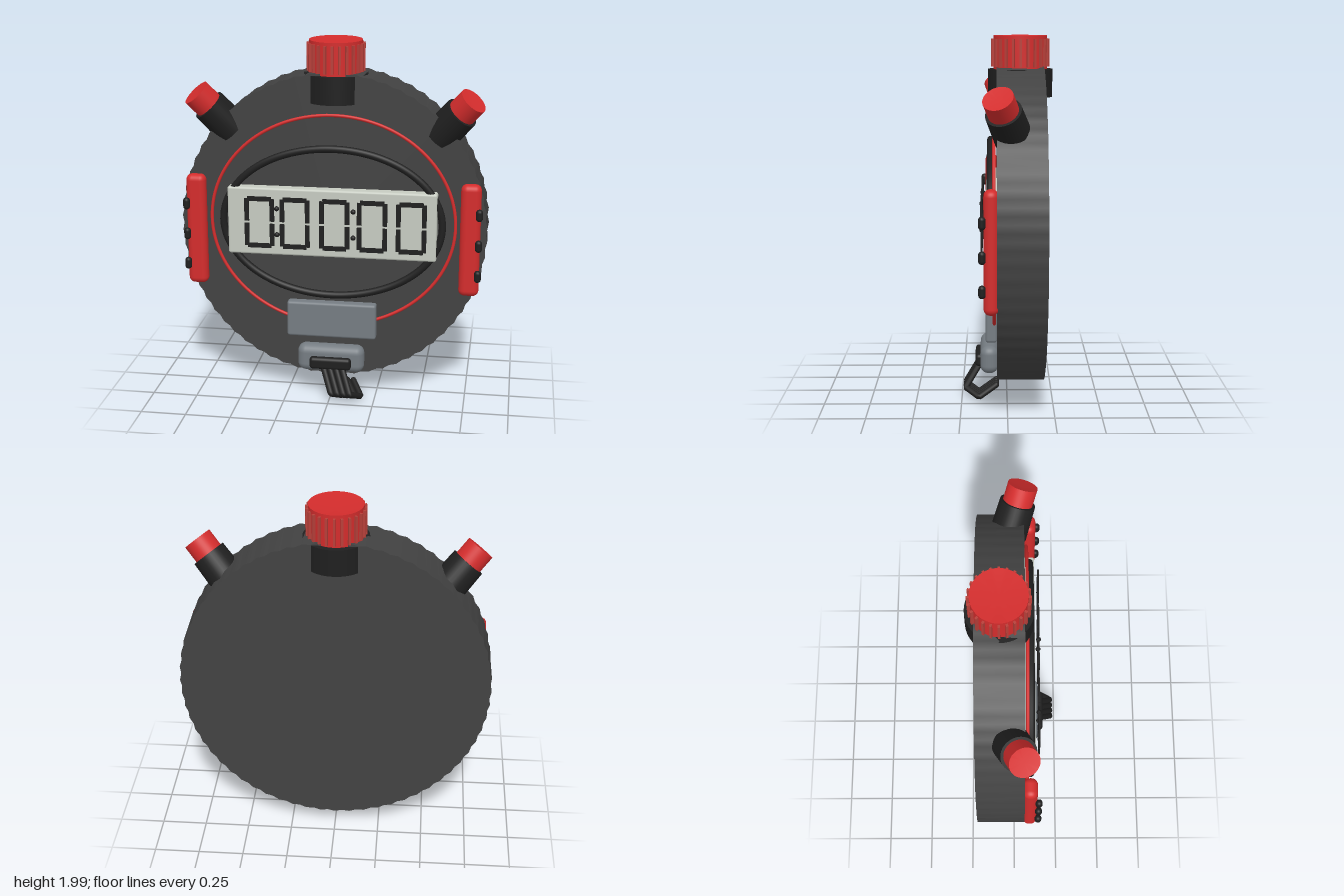
import * as THREE from 'three';
import { toCreasedNormals } from 'three/addons/utils/BufferGeometryUtils.js';
import { RoundedBoxGeometry } from 'three/addons/geometries/RoundedBoxGeometry.js';

const material = (name, color) => {
  const m = new THREE.MeshStandardMaterial({ color });
  m.name = name;
  return m;
};

export function createModel() {
  const model = new THREE.Group();
  model.name = 'stopwatch';
  const charcoal = material('charcoal', 0x424242);
  const black = material('black', 0x1f1f1f);
  const red = material('red', 0xd32c2c);
  const ribRed = material('dull red', 0xb8403a);
  const grey = material('grey', 0x757c82);
  const screen = material('screen', 0xc6cbc1);

  const add = (name, geometry, mat, x = 0, y = 0, z = 0, parent = model) => {
    const mesh = new THREE.Mesh(geometry, mat);
    mesh.name = name;
    mesh.position.set(x, y, z);
    parent.add(mesh);
    return mesh;
  };
  const group = (name) => {
    const g = new THREE.Group();
    g.name = name;
    model.add(g);
    return g;
  };
  const rounded = (w, h, d, r) => new RoundedBoxGeometry(w, h, d, 4, r);

  // Cap with a shallow dished top, standing on y = 0
  const dishedCap = (r, h, dish) => toCreasedNormals(new THREE.LatheGeometry([
    [0, 0], [r, 0], [r, h], [r * 0.96, h], [0, h - dish],
  ].map(([x, y]) => new THREE.Vector2(x, y)), 40), 0.6);

  // Case: slightly oval drum with slanted ridges around the rim
  const n = 128;
  const drum = new THREE.CylinderGeometry(1, 1, 0.255, n, 1);
  const p = drum.attributes.position;
  for (let i = 0; i < p.count; i++) {
    const x = p.getX(i), z = p.getZ(i);
    if (Math.hypot(x, z) < 0.5) continue;
    const k = Math.round(Math.atan2(x, z) / (2 * Math.PI) * n) + n;
    const odd = k % 2 === 1;
    const s = odd === p.getY(i) > 0 ? 1 : 0.99;
    p.setX(i, x * s);
    p.setZ(i, z * s);
  }
  drum.rotateX(Math.PI / 2).scale(0.848, 0.868, 1);
  drum.computeVertexNormals();
  add('case', drum, charcoal, 0, 0.973, -0.0725);

  // Crown with neck and ribs
  const crown = group('crown');
  crown.position.z = -0.073;
  add('neck', new THREE.CylinderGeometry(0.175, 0.175, 0.15, 48), black, 0, 1.745, 0, crown);
  add('crownKnob', dishedCap(0.145, 0.18, 0.03), red, 0, 1.82, 0, crown);
  const ribCount = 24;
  for (let i = 0; i < ribCount; i++) {
    const a = (i / ribCount) * Math.PI * 2;
    const rib = add('crownRib', new THREE.BoxGeometry(0.012, 0.15, 0.025), ribRed,
      Math.sin(a) * 0.147, 1.908, Math.cos(a) * 0.147, crown);
    rib.rotation.y = a;
  }

  // Angled push buttons and side grips
  for (const side of [1, -1]) {
    const label = side > 0 ? 'left' : 'right';
    const button = group(label + 'PushButton');
    const base = new THREE.Vector3(0.57 * side, 1.5, -0.03);
    const tip = new THREE.Vector3(0.75 * side, 1.711, 0.05);
    const axis = tip.clone().sub(base);
    const length = axis.length();
    button.position.copy(base);
    button.quaternion.setFromUnitVectors(new THREE.Vector3(0, 1, 0), axis.normalize());
    add('buttonBarrel', new THREE.CylinderGeometry(0.095, 0.1, 0.19, 32), black, 0, 0.095, 0, button);
    add('buttonCap', dishedCap(0.08, length - 0.1, 0.015), red, 0, 0.1, 0, button);

    add(label + 'Grip', rounded(0.11, 0.63, 0.075, 0.034), red, 0.755 * side, 0.95, 0.085);
    for (const y of [1.105, 0.932, 0.76]) {
      add(label + 'GripStud', new THREE.CapsuleGeometry(0.019, 0.03, 6, 14), black, 0.803 * side, y, 0.13);
    }
  }

  // Oval trim rings on the face
  const ovalRing = (name, rx, ry, tube, mat, z) => {
    const points = [];
    for (let i = 0; i < 64; i++) {
      const a = (i / 64) * Math.PI * 2;
      points.push(new THREE.Vector3(Math.cos(a) * rx, Math.sin(a) * ry, 0));
    }
    const curve = new THREE.CatmullRomCurve3(points, true);
    add(name, new THREE.TubeGeometry(curve, 128, tube, 10, true), mat, 0, 1.014, z);
  };
  ovalRing('outerRing', 0.675, 0.598, 0.009, red, 0.07);
  ovalRing('innerRing', 0.605, 0.417, 0.02, black, 0.088);

  // Display panel
  add('displayPanel', rounded(1.152, 0.382, 0.08, 0.012), screen, 0, 1.015, 0.074);

  // Digits made of separate bars
  const zBar = 0.136;
  const bar = (x, y, w, h, parent) =>
    add('digitBar', new THREE.BoxGeometry(w, h, 0.0095), black, x, y, zBar, parent);
  for (const cx of [-0.394, -0.198, 0.021, 0.227, 0.44]) {
    const digit = group('digit');
    for (const s of [1, -1]) {
      bar(cx, 1.017 + s * 0.133, 0.13, 0.025, digit);
      for (const t of [1, -1]) bar(cx + t * 0.07, 1.017 + s * 0.07, 0.025, 0.126, digit);
    }
  }
  for (const x of [-0.297, 0.124]) {
    for (const y of [1.098, 0.95]) {
      add('colonDot', new THREE.SphereGeometry(0.014, 14, 10), black, x, y, zBar);
    }
  }

  // Lower plate and strap holder
  add('lowerPlate', rounded(0.5, 0.205, 0.062, 0.015), grey, 0, 0.452, 0.086);
  add('strapHolder', rounded(0.375, 0.155, 0.1, 0.045), grey, -0.002, 0.228, 0.098);
  add('strapSlot', rounded(0.234, 0.07, 0.06, 0.02), black, 0, 0.212, 0.146);

  // Bent strap cords
  const strap = group('strap');
  for (let i = 0; i < 4; i++) {
    const x = -0.045 + i * 0.035;
    const path = new THREE.CurvePath();
    const corners = [
      [x, 0.2, 0.14], [x + 0.06, 0.062, 0.23], [x + 0.115, 0.022, 0.155], [x + 0.06, 0.075, 0.06],
    ].map((c) => new THREE.Vector3(...c));
    for (let j = 0; j < 3; j++) path.add(new THREE.LineCurve3(corners[j], corners[j + 1]));
    add('strapCord', new THREE.TubeGeometry(path, 40, 0.017, 10), black, 0, 0, 0, strap);
    add('strapCordEnd', new THREE.SphereGeometry(0.017, 12, 8), black, ...corners[3].toArray(), strap);
  }
  return model;
}
